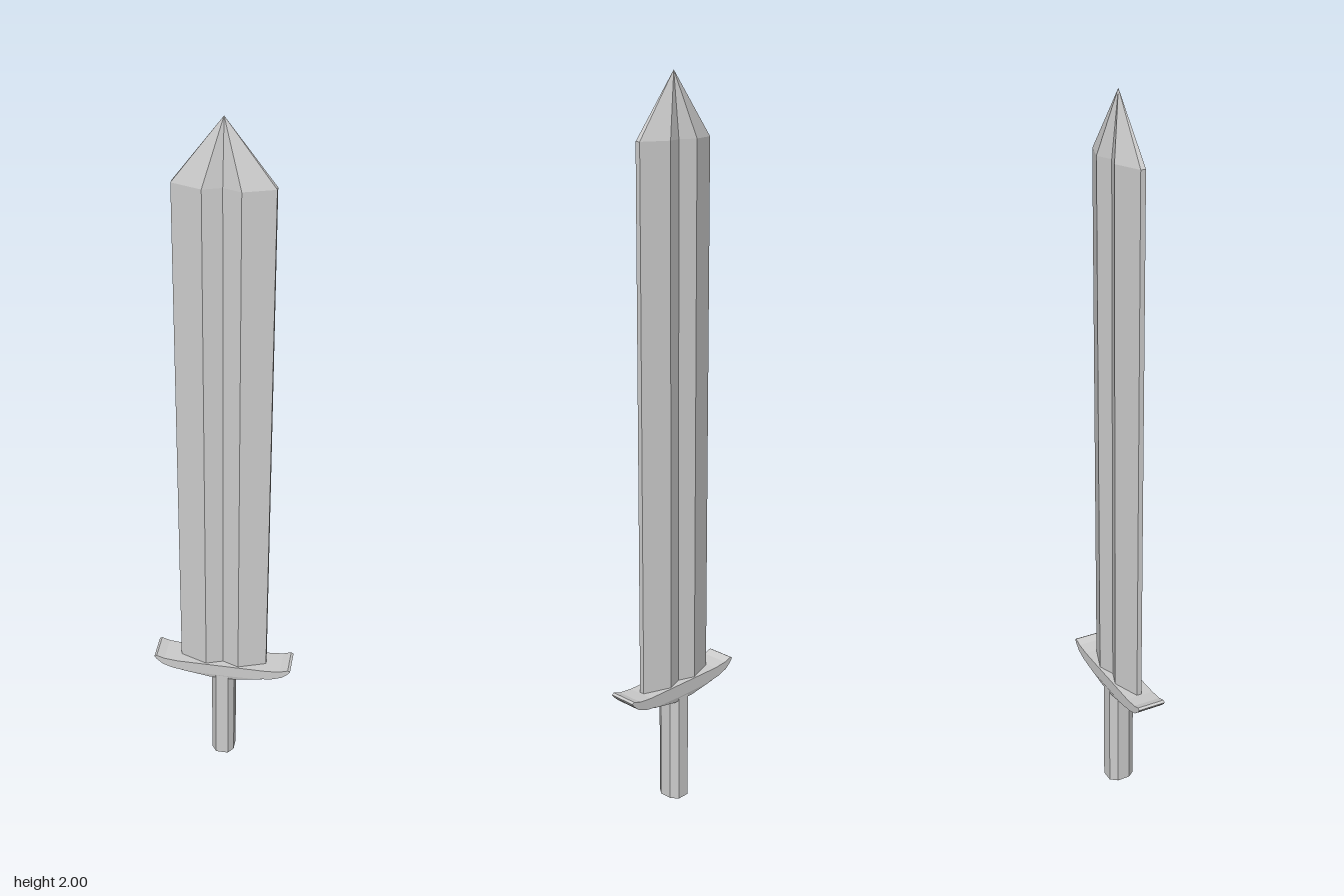
import * as THREE from 'three';

const material = new THREE.MeshStandardMaterial({ color: 0xcccccc, flatShading: true });

// Mirrors a quarter outline (from +x towards +z) into a closed ring of [x, z].
function mirrorRing(quarter) {
  const half = [...quarter, ...quarter.filter(p => p[0] > 0).reverse().map(([x, z]) => [-x, z])];
  return [...half, ...half.map(([x, z]) => [-x, -z])];
}

// Stacks scaled copies of a ring; layers are [y, scaleX, scaleZ], scale 0 closes to a point.
function loft(name, ring, layers) {
  const pos = [];
  const at = (layer, i) => {
    const [x, z] = ring[i % ring.length];
    return [x * layer[1], layer[0], z * layer[2]];
  };
  for (let k = 0; k < layers.length - 1; k++) {
    const lo = layers[k], hi = layers[k + 1];
    for (let i = 0; i < ring.length; i++) {
      if (lo[1] > 0) pos.push(...at(lo, i), ...at(hi, i), ...at(lo, i + 1));
      if (hi[1] > 0) pos.push(...at(lo, i + 1), ...at(hi, i), ...at(hi, i + 1));
    }
  }
  const geometry = new THREE.BufferGeometry();
  geometry.setAttribute('position', new THREE.Float32BufferAttribute(pos, 3));
  geometry.computeVertexNormals();
  const mesh = new THREE.Mesh(geometry, material);
  mesh.name = name;
  return mesh;
}

// Curved crossguard with upturned ends
function createGuard() {
  const right = [[0.03, 0.323], [0.1, 0.325], [0.145, 0.331], [0.175, 0.342], [0.193, 0.358],
    [0.2, 0.368], [0.193, 0.372], [0.17, 0.364], [0.13, 0.36]];
  const left = right.map(([x, y]) => [-x, y]).reverse();
  const shape = new THREE.Shape([...right, ...left].map(p => new THREE.Vector2(...p)));
  const geometry = new THREE.ExtrudeGeometry(shape, { depth: 0.08, bevelEnabled: false });
  geometry.translate(0, 0, -0.04);
  const mesh = new THREE.Mesh(geometry, material);
  mesh.name = 'guard';
  return mesh;
}

export function createModel() {
  const group = new THREE.Group();
  group.name = 'sword';

  // Blade: two ridges with a groove between them, drawn to a point
  const bladeRing = mirrorRing([[0.125, 0.007], [0.047, 0.035], [0, 0.018]]);
  group.add(loft('blade', bladeRing, [[0.35, 0, 0], [0.35, 1, 1], [1.835, 1, 1], [2, 0, 0]]));

  group.add(createGuard());

  // Tapered collar from the guard down to the grip
  const collarRing = mirrorRing([[0.033, 0.036]]);
  group.add(loft('collar', collarRing, [[0.309, 0, 0], [0.309, 1, 1], [0.326, 3.6, 1.1], [0.326, 0, 0]]));

  // Eight-sided grip
  const gripRing = mirrorRing([[0.033, 0.018], [0.018, 0.038]]);
  group.add(loft('grip', gripRing, [[0, 0, 0], [0, 1, 1], [0.32, 1, 1], [0.32, 0, 0]]));

  return group;
}
